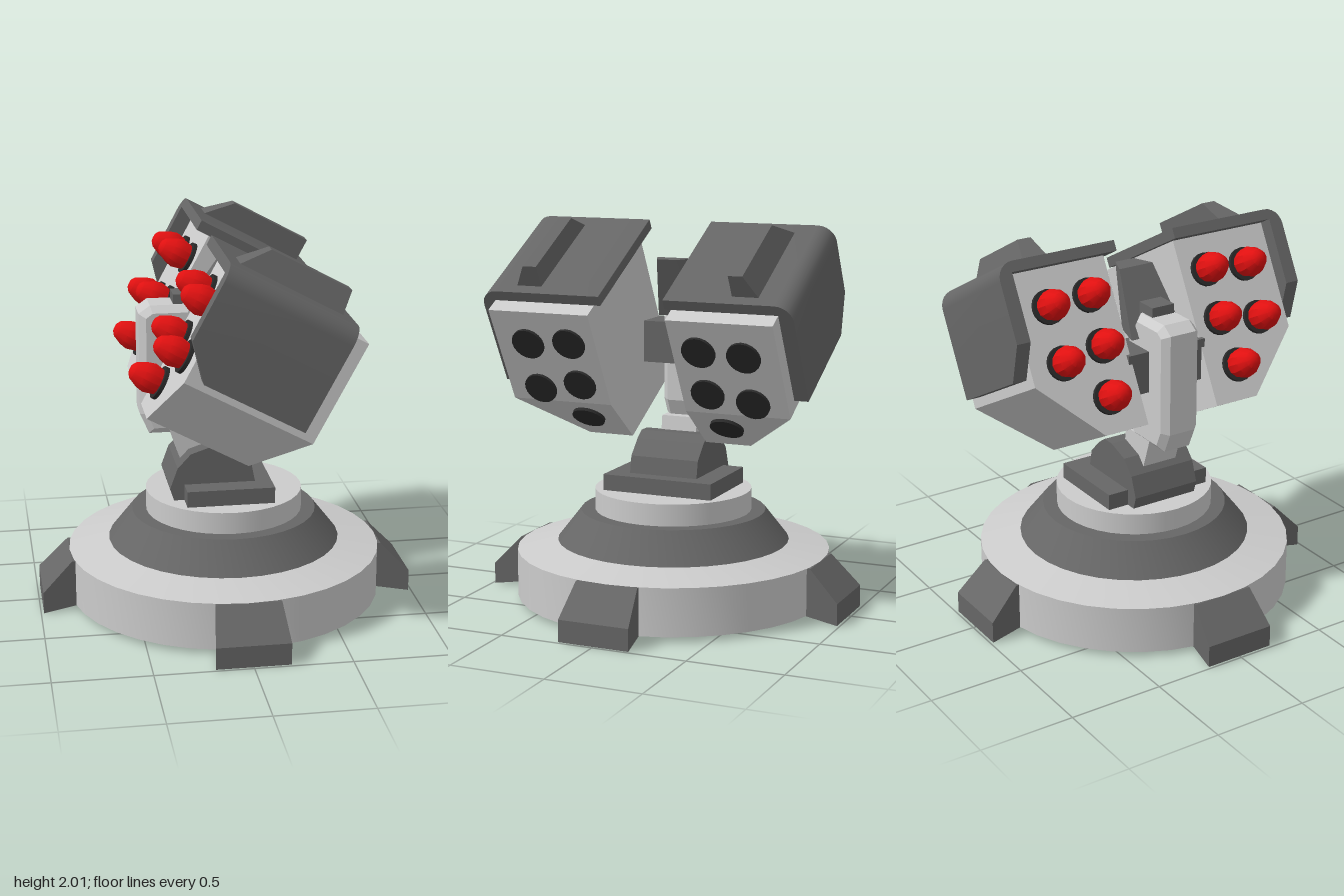
import * as THREE from 'three';
import { toCreasedNormals } from 'three/addons/utils/BufferGeometryUtils.js';

const mat = (color, side = THREE.FrontSide) => new THREE.MeshStandardMaterial({ color, side });
const light = mat(0xcccccc);
const dark = mat(0x666666);
const black = mat(0x2a2a2a);
const red = mat(0xe01010);
const lightShell = mat(0xcccccc, THREE.DoubleSide);
const darkShell = mat(0x666666, THREE.DoubleSide);

function add(parent, name, geometry, material) {
  const mesh = new THREE.Mesh(geometry, material);
  mesh.name = name;
  parent.add(mesh);
  return mesh;
}

const toShape = (pts) => new THREE.Shape(pts.map(([a, b]) => new THREE.Vector2(a, b)));

// Side profile in (x, y), extruded from z0 to z1
function extrudeZ(pts, z0, z1) {
  const g = new THREE.ExtrudeGeometry(toShape(pts), { depth: z1 - z0, bevelEnabled: false });
  return g.translate(0, 0, z0);
}

// Cross-section in (z, y), extruded from x0 to x1
function extrudeX(pts, x0, x1) {
  const g = new THREE.ExtrudeGeometry(toShape(pts.map(([z, y]) => [-z, y])), { depth: x1 - x0, bevelEnabled: false });
  return g.rotateY(Math.PI / 2).translate(x0, 0, 0);
}

function box(x0, x1, y0, y1, z0, z1) {
  return new THREE.BoxGeometry(x1 - x0, y1 - y0, z1 - z0)
    .translate((x0 + x1) / 2, (y0 + y1) / 2, (z0 + z1) / 2);
}

// Moves every vertex by a rule and refreshes the flat normals
function reshape(geometry, rule) {
  const g = geometry.index ? geometry.toNonIndexed() : geometry;
  const p = g.attributes.position;
  const v = new THREE.Vector3();
  for (let i = 0; i < p.count; i++) {
    rule(v.fromBufferAttribute(p, i));
    p.setXYZ(i, v.x, v.y, v.z);
  }
  g.computeVertexNormals();
  return g;
}

function lathe(pts, segments) {
  const g = new THREE.LatheGeometry(pts.map(([r, y]) => new THREE.Vector2(r, y)), segments);
  return toCreasedNormals(g, 0.5);
}

function createBase() {
  const base = new THREE.Group();
  base.name = 'base';
  add(base, 'baseRing', lathe([[0.83, 0.025], [0.83, 0.275], [0.615, 0.32]], 36), lightShell);
  add(base, 'baseCone', lathe([[0.615, 0.32], [0.49, 0.48], [0, 0.48]], 36), darkShell);
  add(base, 'pedestal', new THREE.CylinderGeometry(0.415, 0.415, 0.115, 36).translate(0, 0.5375, 0), light);
  // Four feet, wider at the outer end
  for (let i = 0; i < 4; i++) {
    const profile = [[0.8, 0.025], [0.985, 0], [0.985, 0.115], [0.83, 0.275], [0.8, 0.275]];
    const g = reshape(extrudeZ(profile, -0.19, 0.19), (v) => {
      v.z *= 1 - (0.985 - v.x) * 0.75;
    });
    add(base, 'foot', g.rotateY(i * Math.PI / 2), dark);
  }
  return base;
}

function createMount() {
  const mount = new THREE.Group();
  mount.name = 'mount';
  add(mount, 'mountPlate', box(-0.235, 0.225, 0.595, 0.68, -0.305, 0.305), dark);
  const hump = [[-0.29, 0.595], [-0.31, 0.66], [-0.27, 0.77], [-0.2, 0.845], [-0.08, 0.885],
    [-0.01, 0.885], [0.04, 0.85], [0.12, 0.77], [0.14, 0.67], [0.14, 0.595]];
  add(mount, 'hump', extrudeZ(hump, -0.19, 0.19), dark);
  add(mount, 'neck', extrudeZ([[-0.23, 0.75], [-0.05, 0.75], [-0.08, 0.96], [-0.3, 0.96]], -0.1, 0.1), light);

  // Upright column with bevelled edges
  const column = toShape([[-0.415, 1.05], [-0.38, 0.97], [-0.17, 0.97], [-0.13, 1.05],
    [-0.13, 1.48], [-0.2, 1.585], [-0.38, 1.585], [-0.415, 1.56]]);
  const columnGeo = new THREE.ExtrudeGeometry(column, {
    depth: 0.15, bevelSize: 0.035, bevelThickness: 0.035, bevelSegments: 1,
  }).translate(0, 0, -0.075);
  add(mount, 'column', columnGeo, light);

  add(mount, 'axle', box(-0.31, -0.09, 1.24, 1.46, -0.23, 0.23), dark);
  add(mount, 'bracket', box(-0.27, -0.15, 1.52, 1.67, -0.065, 0.065), dark);
  // Slanted head that narrows towards its top and its +x face
  const head = reshape(new THREE.BoxGeometry(1, 1, 1), (v) => {
    const up = v.y > 0;
    const outer = v.x > 0;
    const halfWidth = up ? (outer ? 0.055 : 0.1) : (outer ? 0.11 : 0.155);
    v.x = up ? (outer ? 0.09 : -0.02) : (outer ? -0.06 : -0.22);
    v.y = up ? 1.81 : 1.5;
    v.z = Math.sign(v.z) * halfWidth;
  });
  add(mount, 'head', head, dark);
  return mount;
}

// One launcher pod in its own tilted frame; s is the side (+1 or -1 in z)
function createPod(s) {
  const pod = new THREE.Group();
  pod.name = s > 0 ? 'frontPod' : 'backPod';
  const side = (pts) => pts.map(([z, y]) => [s * z, y]);
  const zSpan = (a, b) => (s > 0 ? [a, b] : [-b, -a]);

  // Tube body: block above, chamfered keel below with a sloping rear end
  add(pod, 'podBody', box(-0.28, 0.44, -0.134, 0.43, ...zSpan(0.21, 0.77)), light);
  const keel = extrudeX(side([[0.21, -0.134], [0.77, -0.134], [0.46, -0.445], [0.21, -0.445]]), -0.28, 0.44);
  add(pod, 'podKeel', reshape(keel, (v) => {
    if (v.x > 0) v.x += (v.y + 0.134) * 0.434;
  }), light);

  // Armour cover: top plate, rounded shoulder and outer wall
  const section = [[0.175, 0.43], [0.175, 0.485]];
  for (let i = 0; i <= 6; i++) {
    const a = (i / 6) * Math.PI / 2;
    section.push([0.755 + 0.09 * Math.sin(a), 0.395 + 0.09 * Math.cos(a)]);
  }
  section.push([0.845, 0.083], [0.77, 0.083], [0.77, 0.43]);
  add(pod, 'cover', toCreasedNormals(extrudeX(side(section), -0.36, 0.352), 0.5), dark);
  const skirt = [[-0.36, 0.083], [-0.21, -0.085], [0.352, -0.085], [0.352, 0.083]];
  add(pod, 'coverSkirt', extrudeZ(skirt, ...zSpan(0.77, 0.845)), dark);

  // Ridge on the cover, sloped at the front end and on its outer side
  const ridge = extrudeZ([[-0.29, 0.48], [0.29, 0.48], [0.29, 0.605], [-0.165, 0.605]], ...zSpan(0.52, 0.66));
  add(pod, 'ridge', reshape(ridge, (v) => {
    if (v.y > 0.55 && Math.abs(v.z) > 0.6) v.z = s * 0.595;
  }), dark);

  // Five tubes: rear caps, front collars and rocket noses
  const tubes = [[0.59, 0.235], [0.355, 0.25], [0.59, -0.05], [0.355, -0.01], [0.39, -0.265]];
  const nose = [[0, 0], [0.066, 0], [0.08, 0.06], [0.07, 0.1], [0.045, 0.15], [0.025, 0.165], [0, 0.17]];
  tubes.forEach(([z, y], i) => {
    const disc = () => new THREE.CylinderGeometry(0.088, 0.088, 0.03, 20).rotateZ(Math.PI / 2);
    const cap = add(pod, 'rearCap', disc(), black);
    cap.position.set(0.44, y, s * z);
    if (i === 4) {
      cap.position.x = 0.385;
      cap.rotation.z = -0.41;
    }
    add(pod, 'collar', disc(), black).position.set(-0.285, y, s * z);
    const rocket = add(pod, 'rocketNose', lathe(nose, 12).rotateZ(Math.PI / 2), red);
    rocket.position.set(-0.29, y, s * z);
  });

  pod.position.y = 1.4;
  pod.rotation.z = -0.495;
  return pod;
}

export function createModel() {
  const model = new THREE.Group();
  model.name = 'rocketTurret';
  model.add(createBase(), createMount(), createPod(1), createPod(-1));
  return model;
}
